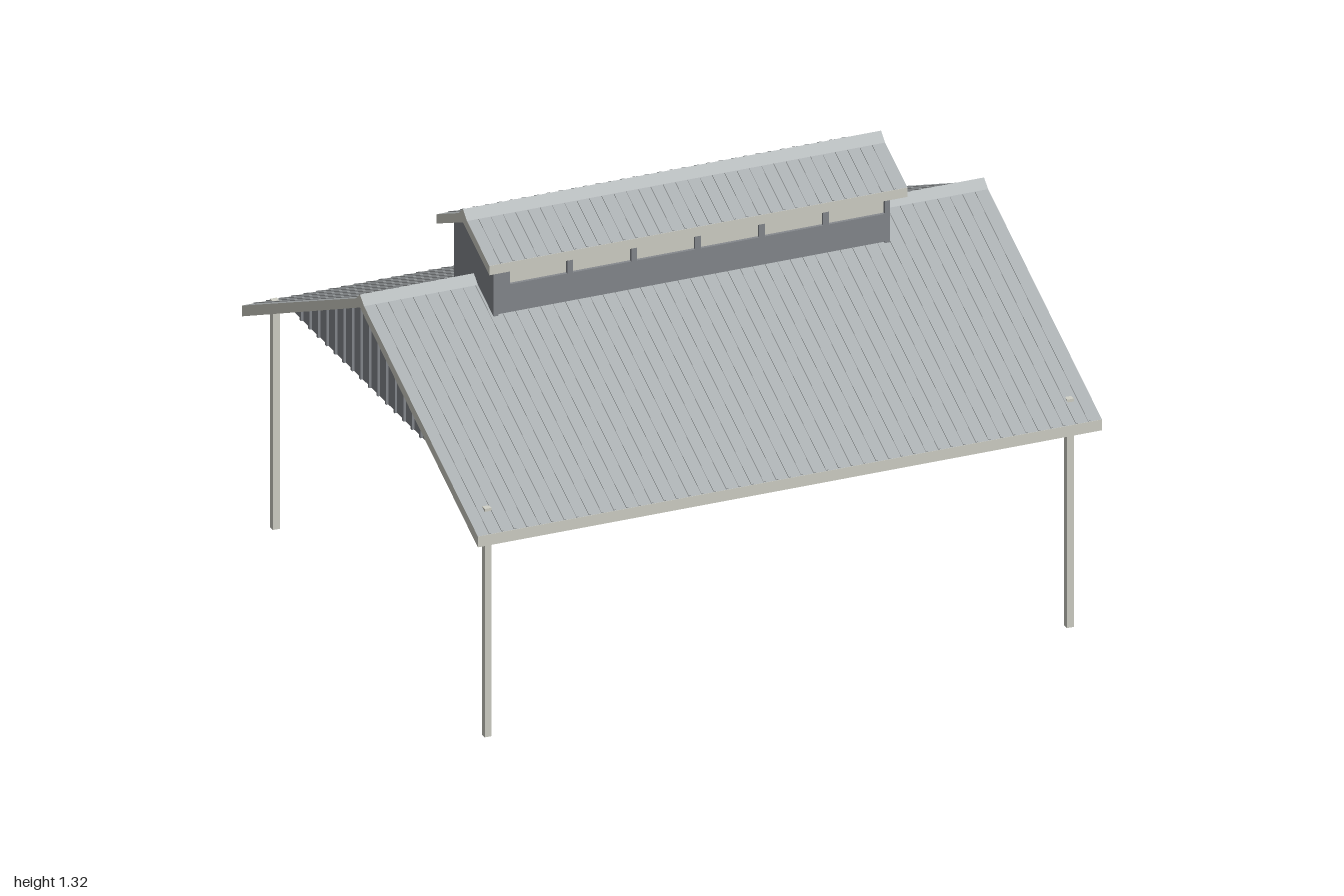
import * as THREE from 'three';

const mat = (name, color) => {
  const m = new THREE.MeshStandardMaterial({ color });
  m.name = name;
  return m;
};

export function createModel() {
  const roofGrey = mat('roof metal grey', 0xa9aeb0);
  const wallGrey = mat('siding grey', 0x85888d);
  const cream = mat('cream trim', 0xd0d0c6);
  const wood = mat('truss brown', 0x7a5335);
  const tan = mat('tan lining', 0xcbb88f);

  const model = new THREE.Group();
  model.name = 'pavilion';

  const group = (name, parent = model) => {
    const g = new THREE.Group();
    g.name = name;
    parent.add(g);
    return g;
  };
  const box = (name, parent, material, [w, h, d], [x, y, z]) => {
    const m = new THREE.Mesh(new THREE.BoxGeometry(w, h, d), material);
    m.name = name;
    m.position.set(x, y, z);
    parent.add(m);
    return m;
  };
  // Mirror a half outline of [z, y] points and extrude it along x
  const extrudeX = (name, parent, materials, points, length, x = 0) => {
    const shape = new THREE.Shape(points.map(([z, y]) => new THREE.Vector2(z, y)));
    const geo = new THREE.ExtrudeGeometry(shape, { depth: length, bevelEnabled: false });
    geo.translate(0, 0, -length / 2).rotateY(Math.PI / 2);
    const m = new THREE.Mesh(geo, materials);
    m.name = name;
    m.position.x = x;
    parent.add(m);
    return m;
  };

  // Ribbed gable roof: sheet metal slopes, cream ends and eave trim
  const addRoof = (name, r) => {
    const g = group(name);
    const outer = [[r.eave, r.low], [r.eave, r.eaveTop], [r.cap, r.capY], [0, r.peak]];
    const mirrored = outer.slice(0, 3).reverse().map(([z, y]) => [-z, y]);
    extrudeX('roofSheet', g, [cream, roofGrey], [...outer, ...mirrored, [0, r.under]], r.length);
    const dz = r.eave - r.cap, dy = r.capY - r.eaveTop;
    for (const turn of [0, Math.PI]) {
      const side = group('roofSide', g);
      side.rotation.y = turn;
      box('eaveTrim', side, cream, [r.length, r.eaveTop - r.low, 0.002],
        [0, (r.eaveTop + r.low) / 2, r.eave]);
      const n = Math.round(r.length / 0.04);
      for (let i = 1; i < n; i++) {
        const rib = box('roofRib', side, roofGrey, [0.007, 0.005, Math.hypot(dz, dy) - 0.004],
          [-r.length / 2 + (i * r.length) / n, (r.capY + r.eaveTop) / 2, (r.eave + r.cap) / 2]);
        rib.rotation.x = Math.atan2(dy, dz);
      }
    }
  };
  addRoof('mainRoof', {
    length: 2, eave: 0.863, low: 0.662, eaveTop: 0.697, cap: 0.03, capY: 1.083, peak: 1.108, under: 1.066,
  });
  addRoof('upperRoof', {
    length: 1.34, eave: 0.193, low: 1.192, eaveTop: 1.222, cap: 0.03, capY: 1.297, peak: 1.323, under: 1.28,
  });

  // Corner posts, just breaking through the roof
  for (const x of [-0.933, 0.933])
    for (const z of [-0.775, 0.775]) box('cornerPost', model, cream, [0.022, 0.742, 0.022], [x, 0.371, z]);

  // Gable walls with battens outside and tan lining inside
  const underside = (z) => 1.066 - 0.468 * Math.abs(z);
  for (const turn of [0, Math.PI]) {
    const gable = group('gableWall');
    gable.rotation.y = turn;
    const outline = [[-0.705, 0.735], [0.705, 0.735], [0, 1.066]];
    extrudeX('gableSiding', gable, wallGrey, outline, 0.014, 0.903);
    extrudeX('gableLining', gable, tan, outline, 0.006, 0.893);
    for (let i = -10; i <= 10; i++) {
      const z = i * 0.0625, h = underside(z) - 0.74;
      box('batten', gable, wallGrey, [0.01, h, 0.01], [0.913, 0.736 + h / 2, z]);
    }
  }

  // Timber roof trusses
  const bar = (name, parent, [z1, y1], [z2, y2], t = 0.026) => {
    const len = Math.hypot(z2 - z1, y2 - y1);
    const m = box(name, parent, wood, [0.026, t, len], [0, (y1 + y2) / 2, (z1 + z2) / 2]);
    m.rotation.x = -Math.atan2(y2 - y1, z2 - z1);
  };
  for (let i = -2; i <= 2; i++) {
    const truss = group('roofTruss');
    truss.position.x = i * 0.315;
    bar('bottomChord', truss, [-0.745, 0.718], [0.745, 0.718], 0.033);
    bar('kingPost', truss, [0, 0.72], [0, 1.03]);
    for (const s of [-1, 1]) {
      bar('topChord', truss, [s * 0.72, 0.713], [0, 1.045]);
      bar('innerWeb', truss, [s * 0.31, 0.72], [0, 1.03]);
      bar('outerWeb', truss, [s * 0.31, 0.72], [s * 0.42, 0.85]);
    }
  }

  // Raised clerestory: end walls, sills, window panels and mullions
  const upper = group('clerestory');
  for (const x of [-0.627, 0.627])
    extrudeX('clerestoryEnd', upper, wallGrey,
      [[-0.145, 1.03], [0.145, 1.03], [0.145, 1.212], [0, 1.28], [-0.145, 1.212]], 0.016, x);
  for (const turn of [0, Math.PI]) {
    const side = group('clerestorySide', upper);
    side.rotation.y = turn;
    box('sillWall', side, wallGrey, [1.268, 0.09, 0.02], [0, 1.08, 0.135]);
    box('windowPanel', side, cream, [1.25, 0.095, 0.006], [0, 1.168, 0.132]);
    box('endMullion', side, wallGrey, [0.05, 0.09, 0.014], [-0.607, 1.168, 0.138]);
    for (let i = 0; i < 5; i++)
      box('mullion', side, wallGrey, [0.018, 0.09, 0.014], [-0.39 + i * 0.205, 1.168, 0.138]);
  }
  return model;
}
